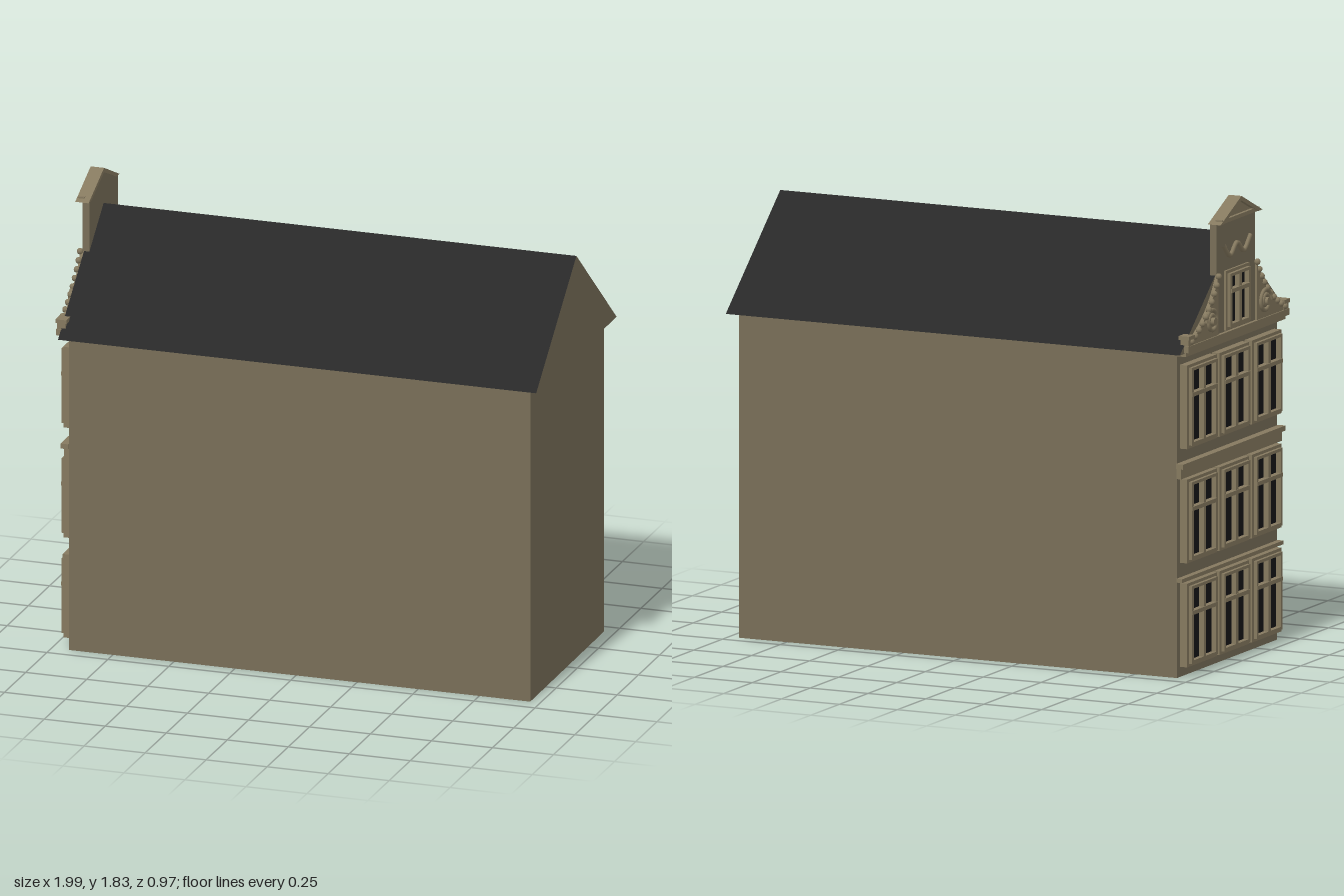
import * as THREE from 'three';

const mat = (name, color) => {
  const m = new THREE.MeshStandardMaterial({ color });
  m.name = name;
  return m;
};

export function createModel() {
  const wall = mat('wall', 0x786e58);
  const trim = mat('trim', 0x85795f);
  const slate = mat('slate', 0x282828);
  const glass = mat('glass', 0x151517);
  const house = new THREE.Group();
  house.name = 'house';

  const add = (parent, name, geo, material) => {
    const m = new THREE.Mesh(geo, material);
    m.name = name;
    parent.add(m);
    return m;
  };
  const box = (parent, name, [x0, x1], [y0, y1], [z0, z1], material) => {
    const m = add(parent, name, new THREE.BoxGeometry(x1 - x0, y1 - y0, z1 - z0), material);
    m.position.set((x0 + x1) / 2, (y0 + y1) / 2, (z0 + z1) / 2);
    return m;
  };
  // Outline in (z, y), extruded from back toward the street side (-x)
  const slab = (parent, name, shape, back, depth, material) => {
    const geo = new THREE.ExtrudeGeometry(shape, { depth, bevelEnabled: false, curveSegments: 10 });
    geo.rotateY(-Math.PI / 2);
    const m = add(parent, name, geo, material);
    m.position.x = back;
    return m;
  };
  const poly = (pts) => new THREE.Shape(pts.map(([z, y]) => new THREE.Vector2(z, y)));

  // Main volume and roof: gable ends in wall colour, slopes and soffit in slate
  box(house, 'body', [-0.93, 0.957], [0, 1.28], [-0.44, 0.44], wall);
  slab(house, 'roof', poly([[-0.48, 1.28], [0.48, 1.28], [0, 1.686]]), 0.995, 1.957, [wall, slate]);

  // Street front: windows in three rows and three bays
  const front = new THREE.Group();
  front.name = 'streetFront';
  house.add(front);
  const makeWindow = (name, zc, y0, w, h, base) => {
    const g = new THREE.Group();
    g.name = name;
    g.position.set(base, y0, zc);
    front.add(g);
    const a = w / 2, f = 0.02, s = 0.012;
    box(g, 'glass', [-0.024, 0], [0.005, h - 0.005], [-a + 0.005, a - 0.005], glass);
    for (const side of [-1, 1]) {
      const zs = (p, q) => [Math.min(p * side, q * side), Math.max(p * side, q * side)];
      box(g, 'jamb', [-0.032, 0], [0, h], zs(a - f, a), trim);
      box(g, 'sashStile', [-0.045, -0.02], [0.012, h - 0.012], zs(a - f - s, a - f + 0.004), trim);
    }
    for (const [y, yi] of [[0, 0.012], [h - f, h - f - s + 0.008]]) {
      box(g, 'rail', [-0.032, 0], [y, y + f], [-a, a], trim);
      box(g, 'sashRail', [-0.045, -0.02], [yi, yi + s], [-a + f, a - f], trim);
    }
    box(g, 'mullion', [-0.045, -0.02], [0.012, h - 0.012], [-0.01, 0.01], trim);
    box(g, 'transom', [-0.048, -0.02], [h * 0.62, h * 0.62 + 0.016], [-a + f, a - f], trim);
  };
  for (const y of [0.04, 0.45, 0.9])
    for (const z of [-0.285, 0, 0.285]) makeWindow('window', z, y, 0.26, 0.33, -0.93);

  // Horizontal mouldings
  box(front, 'lowerStringCourse', [-0.955, -0.93], [0.377, 0.392], [-0.445, 0.445], trim);
  box(front, 'middleFascia', [-0.95, -0.93], [0.785, 0.83], [-0.445, 0.445], trim);
  box(front, 'middleCornice', [-0.962, -0.93], [0.825, 0.845], [-0.45, 0.45], trim);
  box(front, 'upperFascia', [-0.968, -0.93], [1.268, 1.29], [-0.44, 0.44], trim);
  box(front, 'upperCornice', [-0.982, -0.95], [1.285, 1.31], [-0.445, 0.445], trim);

  // Raised neck of the gable
  slab(front, 'neck', poly([[-0.17, 1.28], [0.17, 1.28], [0.17, 1.745], [0, 1.822], [-0.17, 1.745]]), -0.94, 0.028, wall);
  makeWindow('gableWindow', 0, 1.315, 0.21, 0.235, -0.945);
  slab(front, 'pediment', poly([[-0.14, 1.755], [0.14, 1.755], [0, 1.815]]), -0.965, 0.012, trim);
  slab(front, 'pedimentCornice', poly([[-0.185, 1.745], [-0.15, 1.745], [0, 1.812], [0.15, 1.745],
    [0.185, 1.745], [0, 1.83]]), -0.938, 0.055, trim);
  box(front, 'pedimentBase', [-0.99, -0.962], [1.745, 1.76], [-0.165, 0.165], trim);

  // Hanging garland above the gable window
  const garland = new THREE.CatmullRomCurve3([[-0.12, 1.655], [-0.06, 1.605], [0, 1.645], [0.06, 1.605], [0.12, 1.655]]
    .map(([z, y]) => new THREE.Vector3(-0.972, y, z)));
  add(front, 'garland', new THREE.TubeGeometry(garland, 32, 0.01, 6), trim);

  // Scrolled wings either side of the neck
  for (const s of [-1, 1]) {
    const wing = new THREE.Group();
    wing.name = s > 0 ? 'wingFrontSide' : 'wingBackSide';
    front.add(wing);
    const edge = new THREE.QuadraticBezierCurve(
      new THREE.Vector2(0.17 * s, 1.54), new THREE.Vector2(0.24 * s, 1.4), new THREE.Vector2(0.41 * s, 1.325));
    const pts = edge.getPoints(10);
    pts.push(new THREE.Vector2(0.41 * s, 1.3), new THREE.Vector2(0.17 * s, 1.3));
    slab(wing, 'wingPanel', new THREE.Shape(pts), -0.955, 0.022, trim);

    // Beads along the curved edge
    edge.getSpacedPoints(9).forEach((p) => {
      const bead = add(wing, 'bead', new THREE.SphereGeometry(0.013, 8, 6), trim);
      bead.position.set(-0.978, p.y, p.x);
    });
    // Spiral scroll and its central boss
    const spiral = [];
    for (let i = 0; i <= 24; i++) {
      const t = i / 24, r = 0.05 - 0.035 * t, a = t * Math.PI * 3.5;
      spiral.push(new THREE.Vector3(-0.98, 1.375 + r * Math.sin(a), s * (0.235 + r * Math.cos(a))));
    }
    add(wing, 'scroll', new THREE.TubeGeometry(new THREE.CatmullRomCurve3(spiral), 48, 0.009, 6), trim);
    const boss = add(wing, 'boss', new THREE.CylinderGeometry(0.016, 0.016, 0.03, 12), trim);
    boss.rotation.z = Math.PI / 2;
    boss.position.set(-0.982, 1.375, 0.235 * s);

    // Corner pedestal
    const ped = box(wing, 'pedestal', [-0.98, -0.945], [1.3, 1.34], [-0.02, 0.02], trim);
    ped.position.z = 0.42 * s;
    const cap = box(wing, 'pedestalCap', [-0.985, -0.94], [1.335, 1.35], [-0.025, 0.025], trim);
    cap.position.z = 0.42 * s;
  }

  house.rotation.y = 0.004;
  const model = new THREE.Group();
  model.name = 'model';
  model.add(house);
  return model;
}
